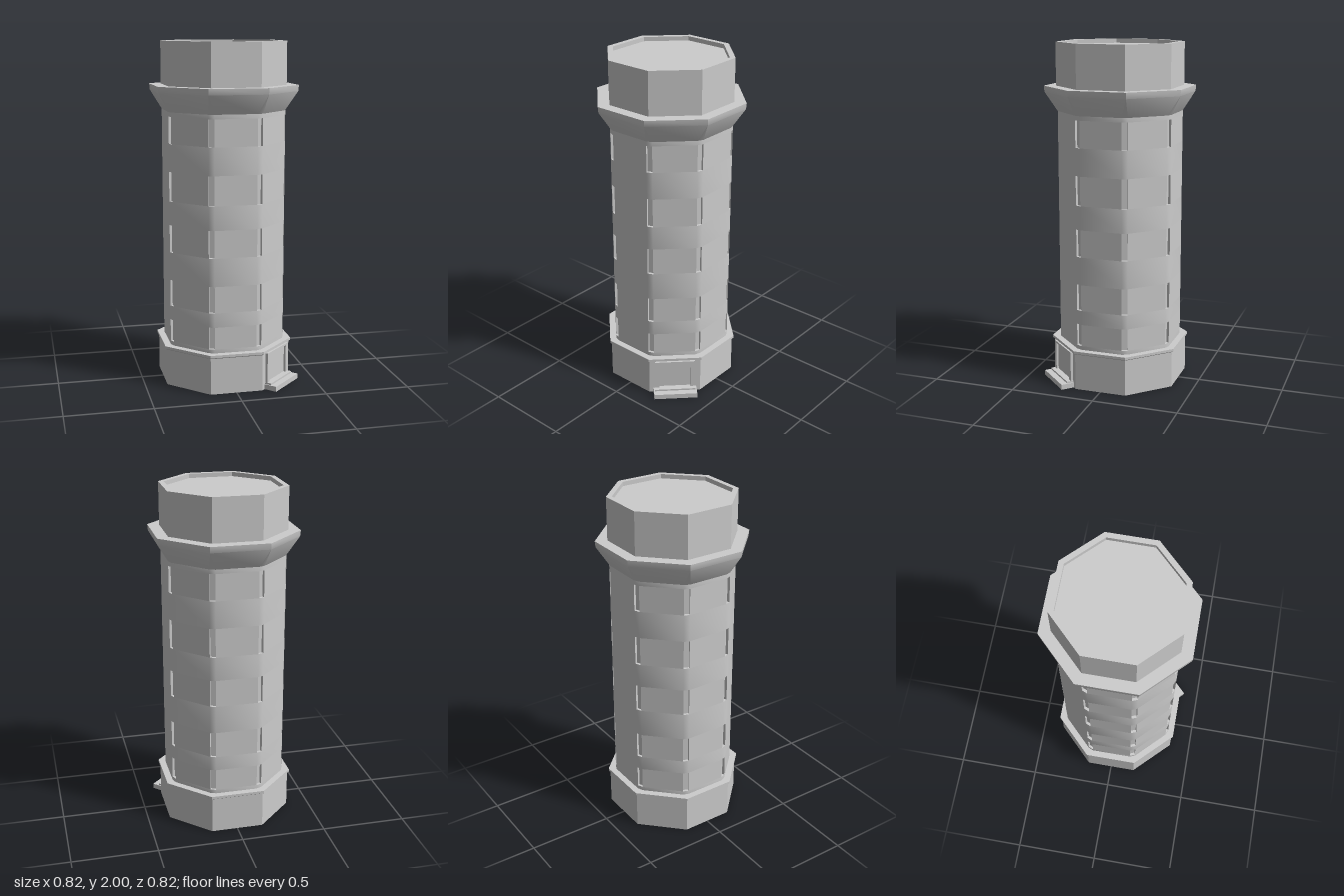
import * as THREE from 'three';
import { toCreasedNormals } from 'three/addons/utils/BufferGeometryUtils.js';

const stone = new THREE.MeshStandardMaterial({ color: 0xcccccc });
stone.name = 'pale grey stone';

// Octagon of apothem a; corners chamfered by width w and optionally notched by depth d
function ring(y, a, w = 0, d = 0) {
  const points = [];
  const radius = a / Math.cos(Math.PI / 8) - (w / 2) * Math.tan(Math.PI / 8);
  for (let k = 0; k < 8; k++) {
    const angle = Math.PI / 8 + (k * Math.PI) / 4;
    const c = Math.cos(angle), s = Math.sin(angle);
    const inner = 1 - d / radius;
    for (const [side, scale] of [[-1, 1], [-1, inner], [1, inner], [1, 1]]) {
      const h = (side * w) / 2;
      points.push(new THREE.Vector3((c * radius - s * h) * scale, y, (s * radius + c * h) * scale));
    }
  }
  return points;
}

// Skin a stack of rings and close both ends
function loft(name, rings) {
  const positions = [];
  const tri = (...corners) => {
    const [a, b, c] = corners;
    const area = b.clone().sub(a).cross(c.clone().sub(a)).length();
    if (area > 1e-8) corners.forEach((p) => positions.push(p.x, p.y, p.z));
  };
  const count = rings[0].length;
  const first = rings[0], last = rings[rings.length - 1];
  const bottom = new THREE.Vector3(0, first[0].y, 0);
  const top = new THREE.Vector3(0, last[0].y, 0);
  for (let i = 0; i < count; i++) {
    const j = (i + 1) % count;
    for (let r = 0; r < rings.length - 1; r++) {
      const a = rings[r], b = rings[r + 1];
      tri(a[i], b[i], b[j]);
      tri(a[i], b[j], a[j]);
    }
    tri(bottom, first[i], first[j]);
    tri(top, last[j], last[i]);
  }
  const geometry = new THREE.BufferGeometry();
  geometry.setAttribute('position', new THREE.Float32BufferAttribute(positions, 3));
  const mesh = new THREE.Mesh(toCreasedNormals(geometry, 0.5), stone);
  mesh.name = name;
  return mesh;
}

function box(name, x0, x1, y0, y1, z0, z1) {
  const mesh = new THREE.Mesh(new THREE.BoxGeometry(x1 - x0, y1 - y0, z1 - z0), stone);
  mesh.position.set((x0 + x1) / 2, (y0 + y1) / 2, (z0 + z1) / 2);
  mesh.name = name;
  return mesh;
}

export function createModel() {
  const tower = new THREE.Group();
  tower.name = 'octagonalTower';

  // Plinth with a projecting rim
  tower.add(loft('base', [ring(0, 0.37), ring(0.215, 0.37)]));
  tower.add(loft('baseRim', [ring(0.215, 0.37), ring(0.222, 0.38), ring(0.237, 0.38)]));

  // Shaft: plain bands alternating with bands of slit windows in the corners
  const shaft = new THREE.Group();
  shaft.name = 'shaft';
  const apothem = 0.342, chamfer = 0.034, depth = 0.015;
  const slits = [[0.26, 0.39], [0.475, 0.63], [0.795, 0.955], [1.095, 1.265], [1.425, 1.58]];
  let y = 0.237;
  for (const [low, high] of slits) {
    shaft.add(loft('plainBand', [ring(y, apothem, chamfer), ring(low, apothem, chamfer)]));
    shaft.add(loft('slitWindowBand', [ring(low, apothem, chamfer, depth), ring(high, apothem, chamfer, depth)]));
    y = high;
  }
  shaft.add(loft('plainBand', [ring(y, apothem, chamfer), ring(1.605, apothem, chamfer)]));
  tower.add(shaft);

  // Flared cornice and hollow-topped crown
  tower.add(loft('cornice', [ring(1.605, apothem, chamfer), ring(1.715, 0.405), ring(1.75, 0.408)]));
  tower.add(loft('crown', [ring(1.75, 0.343), ring(2, 0.343), ring(2, 0.313), ring(1.975, 0.313)]));

  // Doorway on the diagonal front-left face
  const doorway = new THREE.Group();
  doorway.name = 'doorway';
  doorway.add(box('lowerStep', -0.129, 0.129, 0, 0.03, 0.34, 0.448));
  doorway.add(box('upperStep', -0.122, 0.122, 0.03, 0.04, 0.34, 0.41));
  for (const side of [-1, 1]) {
    const x = side * 0.1075;
    doorway.add(box('doorJamb', x - 0.0125, x + 0.0125, 0.04, 0.217, 0.36, 0.385));
  }
  doorway.add(box('doorLintel', -0.095, 0.095, 0.205, 0.217, 0.36, 0.385));
  doorway.add(box('doorPanel', -0.095, 0.095, 0.04, 0.205, 0.364, 0.372));
  doorway.rotation.y = Math.PI / 4;
  tower.add(doorway);

  return tower;
}
